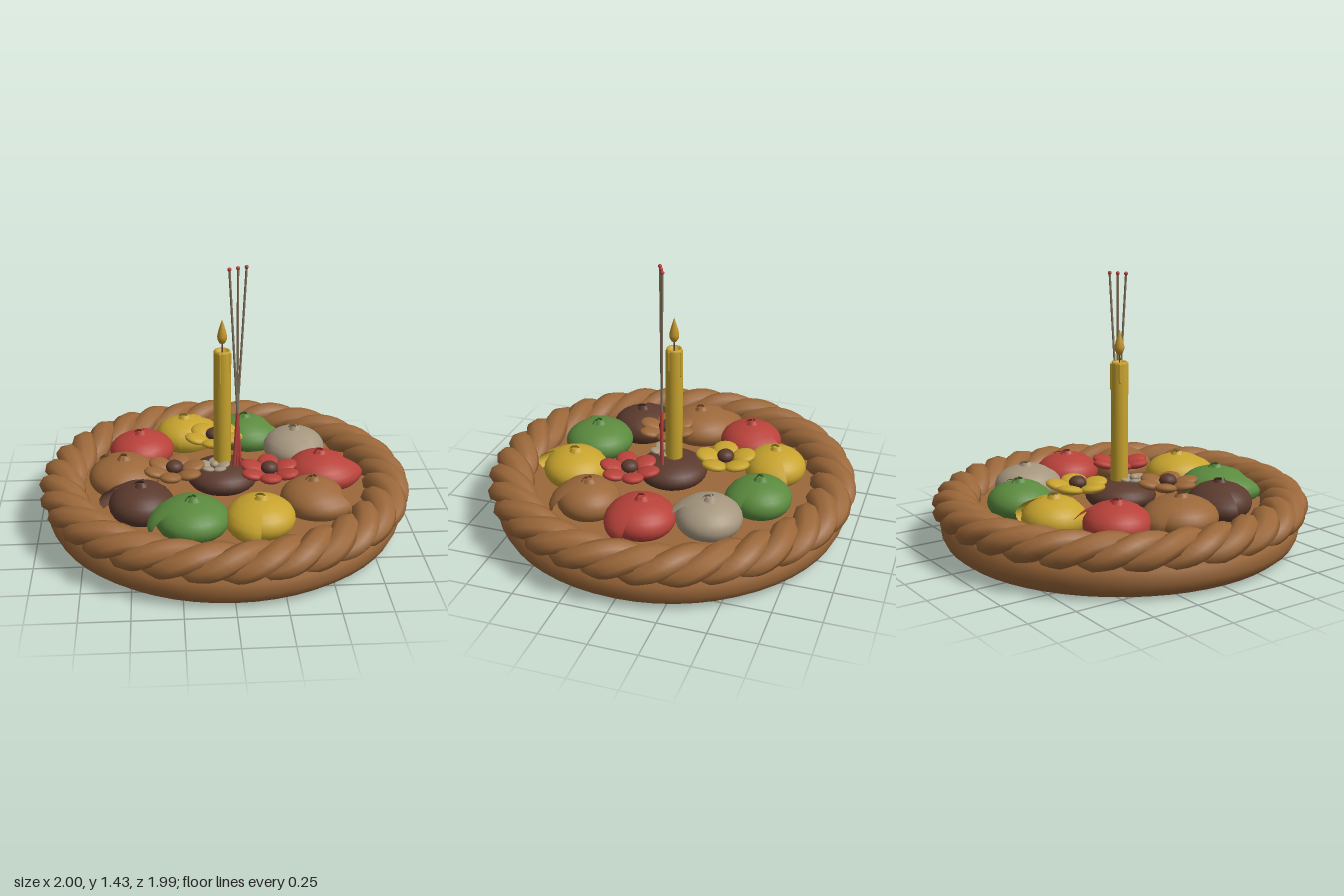
import * as THREE from 'three';

const mat = (name, color) => {
  const m = new THREE.MeshStandardMaterial({ color, side: THREE.DoubleSide });
  m.name = name;
  return m;
};

export function createModel() {
  const root = new THREE.Group();
  root.name = 'offeringBasket';
  const M = {
    brown: mat('basketBrown', 0x9c683a), dark: mat('darkBrown', 0x5b3a2e),
    red: mat('red', 0xb8423a), yellow: mat('yellow', 0xc8a42e),
    green: mat('green', 0x5b8a3e), beige: mat('beige', 0xa5967e),
    flame: mat('flameGold', 0xc0942c), stick: mat('stickGrey', 0x857560),
  };
  const add = (parent, name, geo, material, x = 0, y = 0, z = 0) => {
    const m = new THREE.Mesh(geo, material);
    m.name = name;
    m.position.set(x, y, z);
    parent.add(m);
    return m;
  };
  const group = (name, x, y, z) => {
    const g = new THREE.Group();
    g.name = name;
    g.position.set(x, y, z);
    root.add(g);
    return g;
  };
  const lathe = (pts, seg) => new THREE.LatheGeometry(pts.map(p => new THREE.Vector2(...p)), seg);

  // Grid bent by a rule f(u, v) -> [x, y, z]
  const surface = (nu, nv, f) => {
    const g = new THREE.PlaneGeometry(1, 1, nu, nv), p = g.attributes.position;
    for (let i = 0; i < p.count; i++) p.setXYZ(i, ...f(p.getX(i) + 0.5, p.getY(i) + 0.5));
    g.computeVertexNormals();
    return g;
  };

  // Tray with a shallow floor
  add(root, 'tray', lathe([[0, 0], [0.86, 0], [0.89, 0.008], [0.93, 0.04], [0.95, 0.08],
    [0.96, 0.15], [0.9, 0.22], [0.79, 0.21], [0.76, 0.2], [0, 0.2]], 56), M.brown);

  // Braided rim: three strands twisting around the edge
  class Strand extends THREE.Curve {
    constructor(phase) { super(); this.phase = phase; }
    getPoint(t, out = new THREE.Vector3()) {
      const a = t * Math.PI * 2, phi = 10 * a + this.phase;
      const r = 0.873 + 0.058 * Math.cos(phi);
      return out.set(r * Math.cos(a), 0.058 * Math.sin(phi), -r * Math.sin(a));
    }
  }
  for (let k = 0; k < 3; k++) {
    const geo = new THREE.TubeGeometry(new Strand(k * Math.PI * 2 / 3), 200, 0.069, 8, true);
    add(root, 'rimStrand', geo, M.brown, 0, 0.222, 0).scale.y = 0.76;
  }

  // Rolled blossom: flattened ball, flaring outer petal, wrapped crown and bud
  const blossom = (x, z, r, material, endDeg) => {
    const g = group('rolledBlossom', x, 0.26, z), h = 0.105;
    const end = THREE.MathUtils.degToRad(endDeg);
    add(g, 'blossomBody', new THREE.SphereGeometry(r, 28, 14), material).scale.y = h / r;
    add(g, 'outerPetal', surface(16, 6, (u, v) => {
      const b = end - 2.3 * (1 - u), e = -0.5 + 1.5 * v;
      const q = r * Math.cos(e) * (1.01 + 0.38 * u * u * (1 - v * v));
      return [q * Math.cos(b), h * Math.sin(e) * 1.01, -q * Math.sin(b)];
    }), material);
    add(g, 'crownPetal', surface(28, 4, (u, v) => {
      const b = end + 0.6 + 6.0 * u, e = 0.85 + 0.5 * v;
      const q = r * Math.cos(e) * (0.94 + 0.14 * u);
      return [q * Math.cos(b), h * Math.sin(e) * (0.99 + 0.07 * u), -q * Math.sin(b)];
    }), material);
    for (let k = 0; k < 3; k++) {
      add(g, 'budPetal', surface(5, 2, (u, v) => {
        const b = end + k * 2.1 + 2 * u, q = 0.036 - 0.02 * v + 0.012 * u;
        return [q * Math.cos(b), h * 0.9 + 0.028 * v, -q * Math.sin(b)];
      }), material);
    }
  };
  [
    [-0.2, -0.53, 0.165, 'yellow', 30], [0.15, -0.53, 0.168, 'green', -15],
    [0.42, -0.335, 0.172, 'beige', -60], [0.52, -0.01, 0.175, 'red', -5],
    [0.44, 0.31, 0.168, 'brown', -35], [0.155, 0.5, 0.175, 'yellow', -95],
    [-0.19, 0.5, 0.188, 'green', 215], [-0.445, 0.325, 0.17, 'dark', 165],
    [-0.54, 0, 0.19, 'brown', 125], [-0.455, -0.325, 0.172, 'red', 65],
  ].forEach(([x, z, r, c, e]) => blossom(x, z, r, M[c], e));

  // Mound under the candle
  add(root, 'candleMound', new THREE.SphereGeometry(0.19, 28, 14), M.dark, -0.01, 0.25, 0).scale.y = 0.45;

  // Open flower: cupped oval petals around a button
  const flower = (x, y, z, r, n, material, centre, turn) => {
    const g = group('openFlower', x, y, z);
    for (let i = 0; i < n; i++) {
      const a = turn + i / n * Math.PI * 2;
      const p = add(g, 'flowerPetal', new THREE.SphereGeometry(1, 14, 8), material,
        r * 0.62 * Math.cos(a), 0, -r * 0.62 * Math.sin(a));
      p.scale.set(r * 0.4, r * 0.15, r * Math.min(0.43, 2.15 / n));
      p.rotation.set(0, a, 0.2);
    }
    add(g, 'flowerButton', new THREE.SphereGeometry(r * 0.28, 14, 10), centre, 0, r * 0.1, 0).scale.y = 0.75;
  };
  flower(-0.04, 0.35, -0.29, 0.165, 5, M.yellow, M.dark, 0.9);
  flower(-0.27, 0.35, 0.12, 0.165, 6, M.brown, M.dark, 0.3);
  flower(0.23, 0.35, 0.16, 0.165, 6, M.red, M.dark, 0.5);
  flower(-0.055, 0.335, 0.055, 0.085, 5, M.beige, M.beige, 0.2);

  // Candle with a hollowed top, wax drips, wick and flame
  const candle = group('candle', -0.01, 0, -0.008);
  add(candle, 'wax', lathe([[0, 0.25], [0.047, 0.25], [0.045, 0.955], [0.04, 0.969],
    [0.031, 0.967], [0.024, 0.95], [0, 0.948]], 20), M.yellow);
  [[-1.9, 0.16], [-0.4, 0.1], [1.2, 0.13], [2.6, 0.09]].forEach(([a, len]) => {
    add(candle, 'waxDrip', new THREE.CapsuleGeometry(0.008, len, 4, 8), M.yellow,
      0.042 * Math.cos(a), 0.955 - len / 2, -0.042 * Math.sin(a));
  });
  add(candle, 'wick', new THREE.CylinderGeometry(0.004, 0.004, 0.07, 6), M.dark, 0, 0.98, 0);
  add(candle, 'flame', lathe([[0, 1], [0.015, 1.01], [0.025, 1.03], [0.026, 1.045],
    [0.02, 1.075], [0.009, 1.11], [0, 1.138]], 14), M.flame);

  // Incense sticks crossing where the red handles begin
  const rod = (name, a, b, r, material) => {
    const d = b.clone().sub(a), c = a.clone().add(b).multiplyScalar(0.5);
    const m = add(root, name, new THREE.CylinderGeometry(r, r, d.length(), 8), material, c.x, c.y, c.z);
    m.quaternion.setFromUnitVectors(new THREE.Vector3(0, 1, 0), d.normalize());
  };
  const cross = new THREE.Vector3(0.068, 0.63, 0.035);
  for (const k of [-1, 0, 1]) {
    const tip = new THREE.Vector3(0.068 + 0.045 * k, 1.42, 0.035 - 0.021 * k);
    const foot = cross.clone().addScaledVector(tip.clone().sub(cross), -0.42);
    rod('incenseStick', cross, tip, 0.006, M.stick);
    rod('incenseHandle', foot, cross, 0.0085, M.red);
    add(root, 'incenseTip', new THREE.SphereGeometry(0.0105, 10, 8), M.red, tip.x, tip.y, tip.z);
  }
  return root;
}
